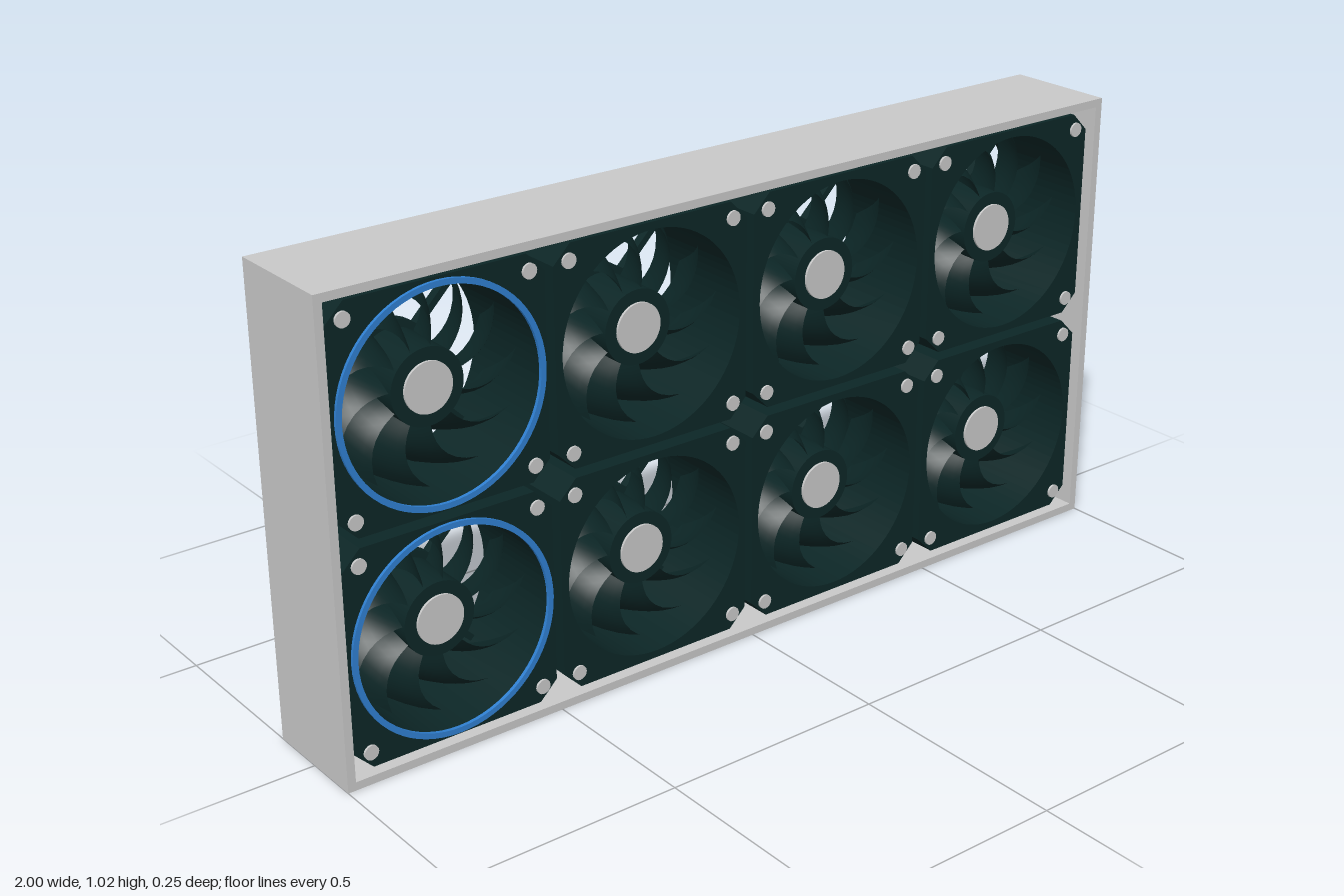
import * as THREE from 'three';

const mat = (name, color, side = THREE.FrontSide) => {
  const m = new THREE.MeshStandardMaterial({ color, side });
  m.name = name;
  return m;
};
const GREY = mat('light grey', 0xc8c8c8);
const DARK = mat('dark teal', 0x0c2626);
const BLADE = DARK; // blades are closed shells, so one dark colour serves all
const BLUE = mat('blue', 0x2f7fd0);

const W = 2, H = 1.016, D = 0.255, WALL = 0.018;
const FAN = 0.235, CHAMFER = 0.04, FAN_D = 0.23, HOLE = 0.219;
const PITCH = 0.49, BLADES = 11;

function add(parent, name, geo, material, x = 0, y = 0, z = 0) {
  const m = new THREE.Mesh(geo, material);
  m.name = name;
  m.position.set(x, y, z);
  parent.add(m);
  return m;
}

function poly(points) {
  return new THREE.Shape(points.map(([x, y]) => new THREE.Vector2(x, y)));
}

function extrude(shape, depth, segments = 32) {
  const g = new THREE.ExtrudeGeometry(shape, { depth, bevelEnabled: false, curveSegments: segments });
  g.translate(0, 0, -depth / 2);
  return g;
}

// cylinder with its axis along z
function disc(r, depth, segments = 32) {
  return new THREE.CylinderGeometry(r, r, depth, segments).rotateX(Math.PI / 2);
}

// Square housing with cut corners and a round duct
function housingGeometry() {
  const a = FAN, b = FAN - CHAMFER;
  const s = poly([[-b, -a], [b, -a], [a, -b], [a, b], [b, a], [-b, a], [-a, b], [-a, -b]]);
  s.holes.push(new THREE.Path().absarc(0, 0, HOLE, 0, Math.PI * 2, true));
  return extrude(s, FAN_D, 36);
}

// Swept, twisted blade made of a front and a back skin
function bladeGeometry() {
  const NU = 8, NV = 5, R0 = 0.07, R1 = 0.208;
  const pos = [], idx = [];
  for (let skin = 0; skin < 2; skin++) {
    const base = pos.length / 3;
    for (let i = 0; i <= NU; i++) {
      const u = i / NU, r = R0 + (R1 - R0) * u;
      const sweep = 0.5 * u * u;
      const chord = 0.46 - 0.05 * u;
      for (let j = 0; j <= NV; j++) {
        const v = j / NV;
        const a = sweep + (v - 0.5) * chord;
        const bow = 0.012 * Math.sin(Math.PI * v);
        const z = -0.06 + 0.115 * v + bow + (skin ? -0.003 : 0.003) * Math.sin(Math.PI * v);
        pos.push(r * Math.cos(a), r * Math.sin(a), z);
      }
    }
    for (let i = 0; i < NU; i++) {
      for (let j = 0; j < NV; j++) {
        const p = base + i * (NV + 1) + j, q = p + NV + 1;
        if (skin) idx.push(p, p + 1, q, q, p + 1, q + 1);
        else idx.push(p, q, p + 1, q, q + 1, p + 1);
      }
    }
  }
  const g = new THREE.BufferGeometry();
  g.setAttribute('position', new THREE.Float32BufferAttribute(pos, 3));
  g.setIndex(idx);
  g.computeVertexNormals();
  return g;
}

const geo = {
  housing: housingGeometry(),
  blade: bladeGeometry(),
  hub: disc(0.08, 0.125, 40),
  cap: disc(0.053, 0.006, 40),
  motor: disc(0.095, 0.025, 40),
  strut: new THREE.BoxGeometry(0.15, 0.014, 0.02),
  screw: disc(0.016, 0.006, 16),
};

function makeFan(withRing) {
  const fan = new THREE.Group();
  const front = FAN_D / 2;
  add(fan, 'housing', geo.housing, DARK);

  // rotor
  const rotor = new THREE.Group();
  rotor.name = 'rotor';
  fan.add(rotor);
  add(rotor, 'hub', geo.hub, DARK);
  add(rotor, 'hubCap', geo.cap, GREY, 0, 0, 0.065);
  for (let i = 0; i < BLADES; i++) {
    add(rotor, 'blade', geo.blade, BLADE).rotation.z = (i / BLADES) * Math.PI * 2;
  }

  // rear motor mount, struts and front corner screws
  add(fan, 'motorMount', geo.motor, DARK, 0, 0, -0.075);
  for (let i = 0; i < 4; i++) {
    const a = Math.PI / 4 + (i * Math.PI) / 2, c = Math.cos(a), s = Math.sin(a);
    add(fan, 'strut', geo.strut, DARK, c * 0.15, s * 0.15, -0.08).rotation.z = a;
    add(fan, 'screw', geo.screw, GREY, Math.sign(c) * 0.2, Math.sign(s) * 0.2, front + 0.002);
  }

  // flat coloured ring around the duct mouth
  if (withRing) {
    const s = new THREE.Shape().absarc(0, 0, 0.229, 0, Math.PI * 2, false);
    s.holes.push(new THREE.Path().absarc(0, 0, 0.217, 0, Math.PI * 2, true));
    add(fan, 'ring', extrude(s, 0.008, 36), BLUE, 0, 0, front + 0.003);
  }
  return fan;
}

export function createModel() {
  const model = new THREE.Group();
  model.name = 'fanPanel';

  // open rectangular casing
  const rect = (w, h) => [[-w, -h], [w, -h], [w, h], [-w, h]];
  const shell = poly(rect(W / 2, H / 2));
  shell.holes.push(poly(rect(W / 2 - WALL, H / 2 - WALL)));
  add(model, 'casing', extrude(shell, D), GREY, 0, H / 2, 0);

  // two rows of four fans, ringed in the first column
  for (let row = 0; row < 2; row++) {
    for (let col = 0; col < 4; col++) {
      const fan = makeFan(col === 0);
      fan.name = 'fan';
      fan.position.set((col - 1.5) * PITCH - 0.004, H / 2 + (row - 0.5) * PITCH, 0);
      model.add(fan);
    }
  }
  return model;
}
